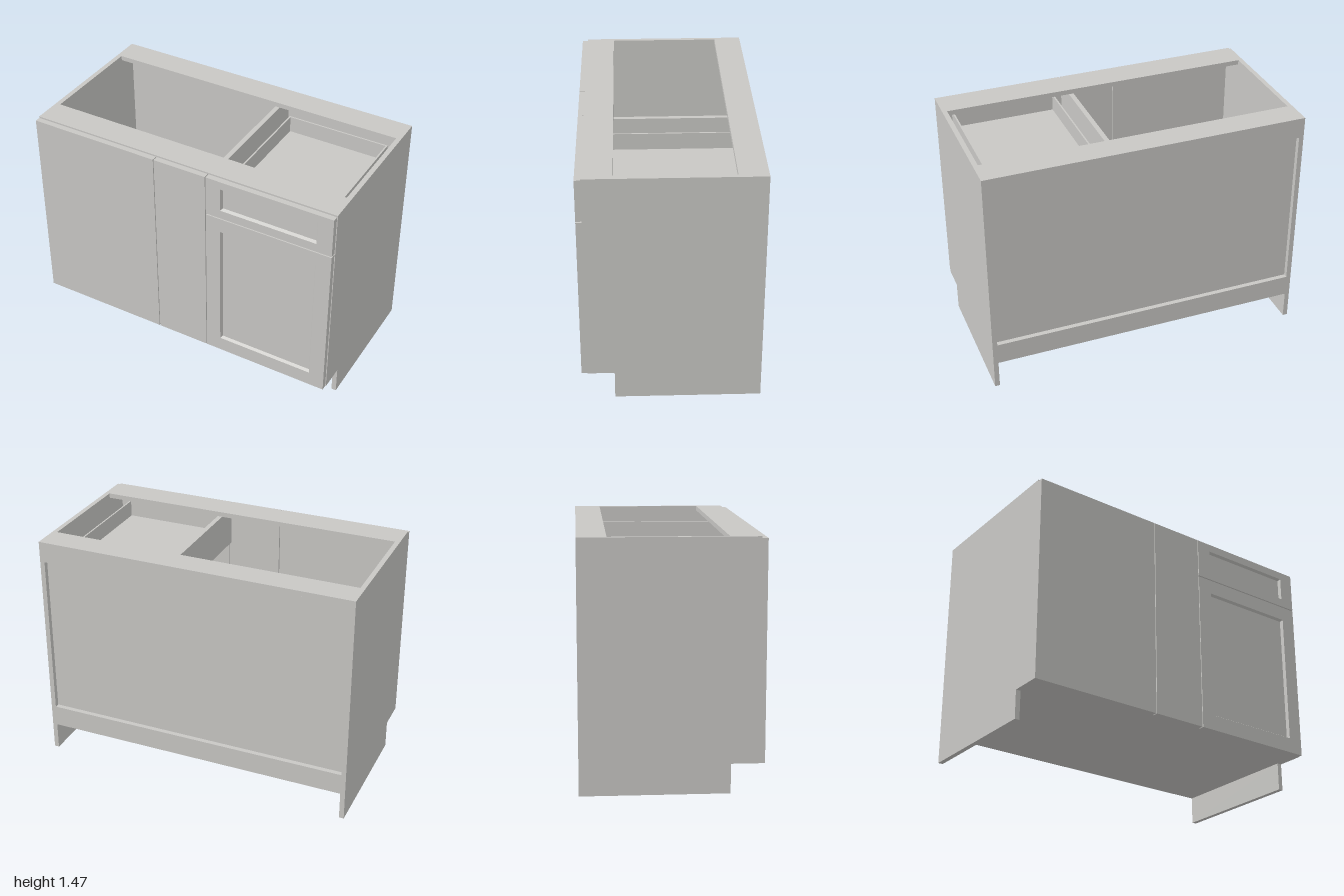
import * as THREE from 'three';

const paint = new THREE.MeshStandardMaterial({ color: 0xc8c7c4 });
paint.name = 'light grey paint';

const FRONT = 0.53, BACK = -0.53, CARCASS = 0.495, TOP = 1.47, KICK = 0.175, T = 0.03;

function add(parent, name, geometry) {
  const mesh = new THREE.Mesh(geometry, paint);
  mesh.name = name;
  parent.add(mesh);
  return mesh;
}

// box given by its limits on each axis
function board(parent, name, x0, x1, y0, y1, z0, z1) {
  const mesh = add(parent, name, new THREE.BoxGeometry(x1 - x0, y1 - y0, z1 - z0));
  mesh.position.set((x0 + x1) / 2, (y0 + y1) / 2, (z0 + z1) / 2);
  return mesh;
}

const corners = (x0, x1, y0, y1) => [[x0, y0], [x1, y0], [x1, y1], [x0, y1]];
const outline = (pts, Type) => new Type(pts.map(([x, y]) => new THREE.Vector2(x, y)));

// framed front with a sloped step down to a recessed panel
function framedFront(parent, name, outer, inner) {
  const group = new THREE.Group();
  group.name = name;
  const bevel = 0.01, panelZ = FRONT - 0.017;

  const shape = outline(corners(...outer), THREE.Shape);
  shape.holes.push(outline(corners(...inner), THREE.Path));
  const frame = new THREE.ExtrudeGeometry(shape, { depth: FRONT - CARCASS, bevelEnabled: false });
  add(group, 'frame', frame.translate(0, 0, CARCASS));

  const [x0, x1, y0, y1] = inner;
  board(group, 'recessedPanel', x0, x1, y0, y1, CARCASS, panelZ);

  const a = corners(...inner);
  const b = corners(x0 + bevel, x1 - bevel, y0 + bevel, y1 - bevel);
  const pos = [];
  for (let i = 0; i < 4; i++) {
    const j = (i + 1) % 4;
    const p = [...a[i], FRONT], q = [...a[j], FRONT], r = [...b[j], panelZ], s = [...b[i], panelZ];
    pos.push(...p, ...q, ...r, ...p, ...r, ...s);
  }
  const slope = new THREE.BufferGeometry();
  slope.setAttribute('position', new THREE.Float32BufferAttribute(pos, 3));
  slope.computeVertexNormals();
  add(group, 'bevel', slope);
  parent.add(group);
}

export function createModel() {
  const model = new THREE.Group();
  model.name = 'baseCabinet';

  // side panels with the toe notch
  const profile = outline([[BACK, 0], [0.335, 0], [0.335, KICK], [CARCASS, KICK], [CARCASS, TOP], [BACK, TOP]], THREE.Shape);
  for (const [name, x] of [['leftSide', 1], ['rightSide', -1 + T]]) {
    const geo = new THREE.ExtrudeGeometry(profile, { depth: T, bevelEnabled: false });
    add(model, name, geo.rotateY(-Math.PI / 2)).position.x = x;
  }

  // carcass boards between the sides
  const w = 1 - T;
  board(model, 'bottom', -w, w, KICK, KICK + T, -0.5, CARCASS);
  board(model, 'shelf', -w, w, 0.69, 0.72, -0.485, 0.49);
  board(model, 'backPanel', -w, w, KICK, TOP - T, -0.5, -0.485);
  board(model, 'topBackRail', -w, w, 1.34, TOP - T, BACK, -0.5);
  board(model, 'bottomBackRail', -w, w, KICK, 0.31, BACK, -0.5);
  board(model, 'frontStretcher', -w, w, TOP - T, TOP, 0.32, CARCASS);
  board(model, 'backStretcher', -w, w, TOP - T, TOP, BACK, -0.36);
  board(model, 'drawerDivider', 0.165, 0.195, 1.2, TOP - T, -0.485, 0.475);

  // open drawer box
  const drawer = new THREE.Group();
  drawer.name = 'drawerBox';
  const d0 = 0.245, d1 = 0.905, low = 1.25, high = 1.37, zb = -0.405, zf = 0.485, t = 0.01;
  board(drawer, 'drawerFloor', d0 + t, d1 - t, low + 0.005, low + 0.017, zb + t, zf - t);
  board(drawer, 'drawerRightWall', d0, d0 + t, low, high, zb, zf);
  board(drawer, 'drawerLeftWall', d1 - t, d1, low, high, zb, zf);
  board(drawer, 'drawerBackWall', d0 + t, d1 - t, low, high, zb, zb + t);
  board(drawer, 'drawerFrontWall', d0 + t, d1 - t, low, high, zf - t, zf);
  model.add(drawer);

  // fronts
  const faceTop = 1.46;
  board(model, 'blindPanel', -1, -0.165, KICK, faceTop, CARCASS, FRONT);
  board(model, 'fillerPanel', -0.16, 0.183, KICK, faceTop, CARCASS, FRONT);
  framedFront(model, 'drawerFront', [0.188, 0.995, 1.205, faceTop], [0.283, 0.9, 1.26, 1.41]);
  framedFront(model, 'door', [0.188, 0.995, KICK, 1.198], [0.283, 0.9, 0.27, 1.105]);

  return model;
}
